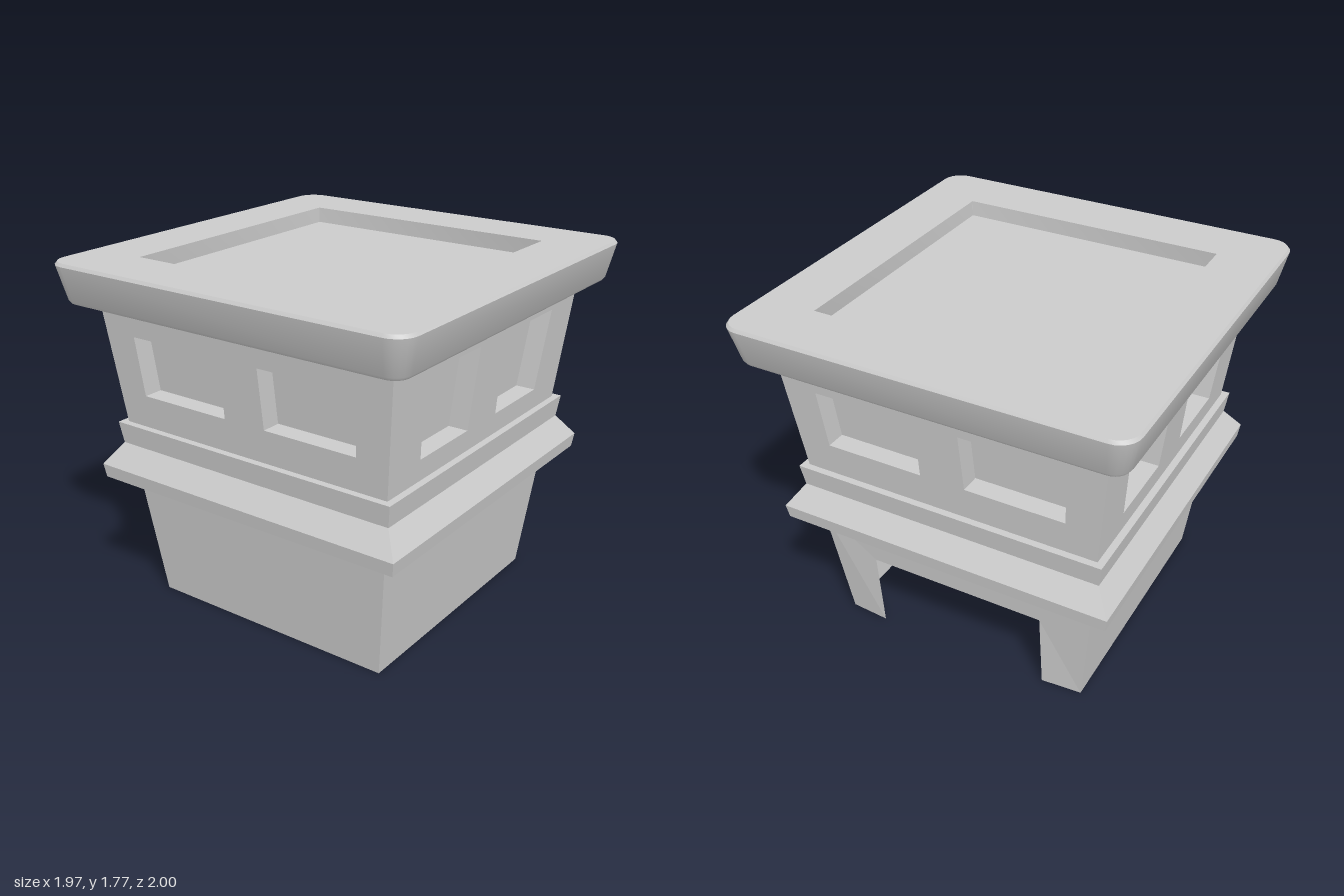
import * as THREE from 'three';
import { toCreasedNormals } from 'three/addons/utils/BufferGeometryUtils.js';

const material = new THREE.MeshStandardMaterial({ color: 0xcccccc, side: THREE.DoubleSide });

// Skin a list of closed rings (arrays of Vector3); optionally cap the last ring
function loft(rings, cap = false, crease = 0.1) {
  const out = [];
  const tri = (...pts) => pts.forEach((p) => out.push(p.x, p.y, p.z));
  for (let r = 0; r < rings.length - 1; r++) {
    const a = rings[r], b = rings[r + 1], n = a.length;
    for (let i = 0; i < n; i++) {
      const j = (i + 1) % n;
      tri(a[i], b[i], b[j]);
      tri(a[i], b[j], a[j]);
    }
  }
  if (cap) {
    const last = rings[rings.length - 1];
    for (let i = 1; i < last.length - 1; i++) tri(last[0], last[i + 1], last[i]);
  }
  const g = new THREE.BufferGeometry();
  g.setAttribute('position', new THREE.Float32BufferAttribute(out, 3));
  g.computeVertexNormals();
  return toCreasedNormals(g, crease);
}

// Horizontal rectangle with rounded corners
function roundedRing(hx, hz, y, radius, steps) {
  const pts = [];
  for (let c = 0; c < 4; c++) {
    const mid = Math.PI / 4 + c * Math.PI / 2;
    const cx = Math.sign(Math.cos(mid)) * (hx - radius);
    const cz = Math.sign(Math.sin(mid)) * (hz - radius);
    for (let s = 0; s <= steps; s++) {
      const a = (c + s / steps) * Math.PI / 2;
      pts.push(new THREE.Vector3(cx + radius * Math.cos(a), y, cz + radius * Math.sin(a)));
    }
  }
  return pts;
}

const squareRing = (h, y) =>
  [[1, -1], [1, 1], [-1, 1], [-1, -1]].map(([x, z]) => new THREE.Vector3(x * h, y, z * h));

function addMesh(parent, name, geometry) {
  const mesh = new THREE.Mesh(geometry, material);
  mesh.name = name;
  parent.add(mesh);
  return mesh;
}

// Leaning flat wall: outline and holes in (u, y), pushed out to depth(y)
function leaningWall(outline, holes, depth) {
  const toV2 = (pts) => pts.map(([u, y]) => new THREE.Vector2(u, y));
  const shape = new THREE.Shape(toV2(outline));
  holes.forEach((h) => shape.holes.push(new THREE.Path(toV2(h))));
  const g = new THREE.ShapeGeometry(shape);
  const p = g.attributes.position;
  for (let i = 0; i < p.count; i++) p.setZ(i, depth(p.getY(i), p.getX(i)));
  const flat = g.toNonIndexed();
  flat.computeVertexNormals();
  return flat;
}

// Window outline on one half of a wall; side is 1 or -1
const windowOutline = (w, side) => [
  [w.bottomIn * side, w.y0], [w.bottomOut * side, w.y0],
  [w.topOut * side, w.y1], [w.topIn * side, w.y1],
];

export function createModel() {
  const model = new THREE.Group();
  model.name = 'pavilion';

  const lowerHalf = (y) => 0.665 + (0.075 / 0.66) * y;
  const upperHalf = (y) => 0.765 + (0.065 / 0.62) * (y - 0.95);
  const wide = { y0: 1.12, y1: 1.42, bottomIn: 0.115, bottomOut: 0.615, topIn: 0.11, topOut: 0.635 };
  const tall = { y0: 1.06, y1: 1.47, bottomIn: 0.13, bottomOut: 0.53, topIn: 0.115, topOut: 0.58 };
  const recess = 0.1;

  ['front', 'left', 'back', 'right'].forEach((side, k) => {
    const group = new THREE.Group();
    group.name = side + 'Side';
    group.rotation.y = k * Math.PI / 2;
    model.add(group);

    // Lower wall, with a doorway in the back one
    const isBack = side === 'back';
    const door = isBack ? [[-0.46, 0], [-0.46, 0.43], [0.46, 0.43], [0.46, 0]] : [];
    const lower = [[-0.665, 0], ...door, [0.665, 0], [0.74, 0.66], [-0.74, 0.66]];
    const bulge = (y, u) => (isBack && y < 0.01 && Math.abs(u) < 0.5 ? 0.015 : 0);
    addMesh(group, side + 'LowerWall',
      leaningWall(lower, [], (y, u) => lowerHalf(y) + bulge(y, u)));

    // Upper wall with two window openings
    const w = k % 2 ? tall : wide;
    const windows = [1, -1].map((s) => windowOutline(w, s));
    const a = upperHalf(0.95), b = upperHalf(1.57);
    addMesh(group, side + 'UpperWall',
      leaningWall([[-a, 0.95], [a, 0.95], [b, 1.57], [-b, 1.57]], windows, upperHalf));

    // Recessed window pockets
    windows.forEach((outline) => {
      const pts = outline[0][0] > 0 ? outline.slice().reverse() : outline;
      const ring = (d) => pts.map(([u, y]) => new THREE.Vector3(u, y, upperHalf(y) - d));
      addMesh(group, side + 'Window', loft([ring(0), ring(recess)], true));
    });
  });

  // Moulding between the storeys
  const band = [[0.74, 0.66], [0.855, 0.66], [0.865, 0.73], [0.785, 0.84], [0.8, 0.95], [0.765, 0.95]];
  addMesh(model, 'moulding', loft(band.map(([h, y]) => squareRing(h, y))));

  // Flared roof slab with rounded corners and a sunken top
  const slab = [
    [0.82, 0.82, 1.57, 0.002], [0.935, 0.95, 1.57, 0.07], [0.947, 0.96, 1.585, 0.08],
    [0.985, 1.0, 1.755, 0.1], [0.975, 0.99, 1.77, 0.095],
    [0.685, 0.695, 1.77, 0.001], [0.685, 0.695, 1.69, 0.001],
  ];
  addMesh(model, 'roof',
    loft(slab.map(([hx, hz, y, r]) => roundedRing(hx, hz, y, r, 6)), true, 0.5));

  return model;
}
